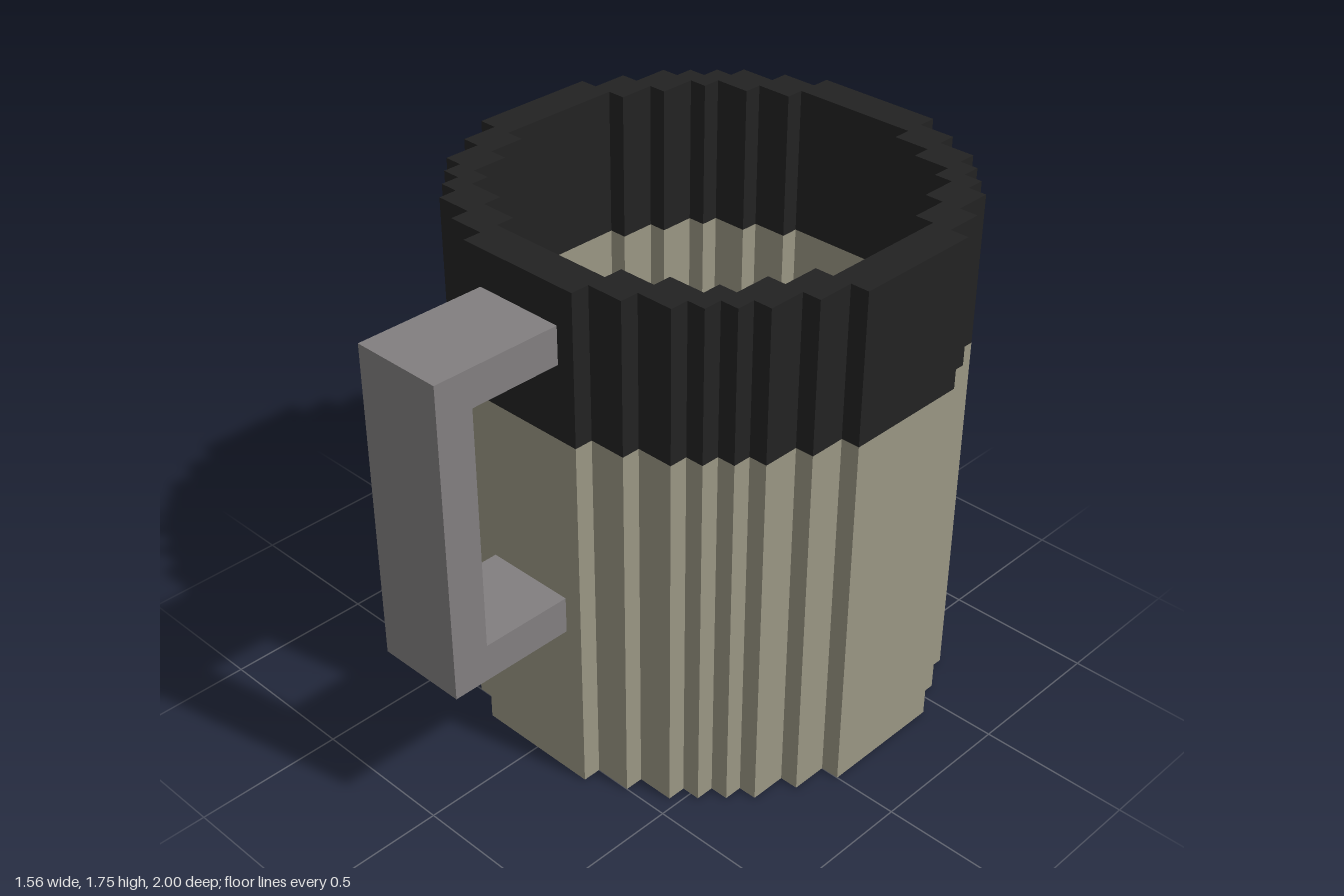
import * as THREE from 'three';

const U = 1 / 16; // grid step of the blocky shape
const CENTER_Z = -3.5 * U;

const material = (name, color) => {
  const m = new THREE.MeshStandardMaterial({ color });
  m.name = name;
  return m;
};

// Outer corners of one quadrant's staircase, in grid steps
const OUTER = [[12.5, 3.5], [11.5, 5.5], [10.5, 7.5], [9.5, 8.5], [8.5, 9.5], [7.5, 10.5], [5.5, 11.5], [3.5, 12.5]];
const INNER = [[10.5, 3.5], [9.5, 5.5], [8.5, 7.5], [7.5, 8.5], [5.5, 9.5], [3.5, 10.5]];

// Mirrors a quadrant staircase into a full stepped circle
function steppedCircle(corners) {
  const quadrant = [];
  corners.forEach(([x, y], i) => {
    if (i > 0) quadrant.push([x, corners[i - 1][1]]);
    quadrant.push([x, y]);
  });
  const reversed = [...quadrant].reverse();
  return [
    ...quadrant,
    ...reversed.map(([x, y]) => [-x, y]),
    ...quadrant.map(([x, y]) => [-x, -y]),
    ...reversed.map(([x, y]) => [x, -y]),
  ].map(([x, y]) => new THREE.Vector2(x * U, y * U));
}

// Upright stepped cylinder, optionally hollow
function steppedCylinder(name, mat, bottom, top, hollow) {
  const shape = new THREE.Shape(steppedCircle(OUTER));
  if (hollow) shape.holes.push(new THREE.Path(steppedCircle(INNER)));
  const geometry = new THREE.ExtrudeGeometry(shape, { depth: top - bottom, bevelEnabled: false });
  geometry.rotateX(-Math.PI / 2);
  const mesh = new THREE.Mesh(geometry, mat);
  mesh.name = name;
  mesh.position.set(0, bottom, CENTER_Z);
  return mesh;
}

export function createModel() {
  const clay = material('clay', 0x9a9684);
  const black = material('black', 0x222222);
  const grey = material('grey', 0x827f80);

  const mug = new THREE.Group();
  mug.name = 'mug';

  // Body: floor, lower wall and dark rim band
  mug.add(
    steppedCylinder('floor', clay, 0, 2 * U, false),
    steppedCylinder('wall', clay, 2 * U, 20 * U, true),
    steppedCylinder('rimBand', black, 20 * U, 28 * U, true),
  );

  // Square handle: bracket profile in z and y, extruded across x
  const profile = [[9, 9], [16, 9], [16, 26], [9, 26], [9, 24], [14, 24], [14, 11], [9, 11]]
    .map(([z, y]) => new THREE.Vector2(z * U, y * U));
  const handleGeometry = new THREE.ExtrudeGeometry(new THREE.Shape(profile), { depth: 5 * U, bevelEnabled: false });
  handleGeometry.translate(0, 0, -2.5 * U).rotateY(-Math.PI / 2);
  const handle = new THREE.Mesh(handleGeometry, grey);
  handle.name = 'handle';
  mug.add(handle);

  return mug;
}
